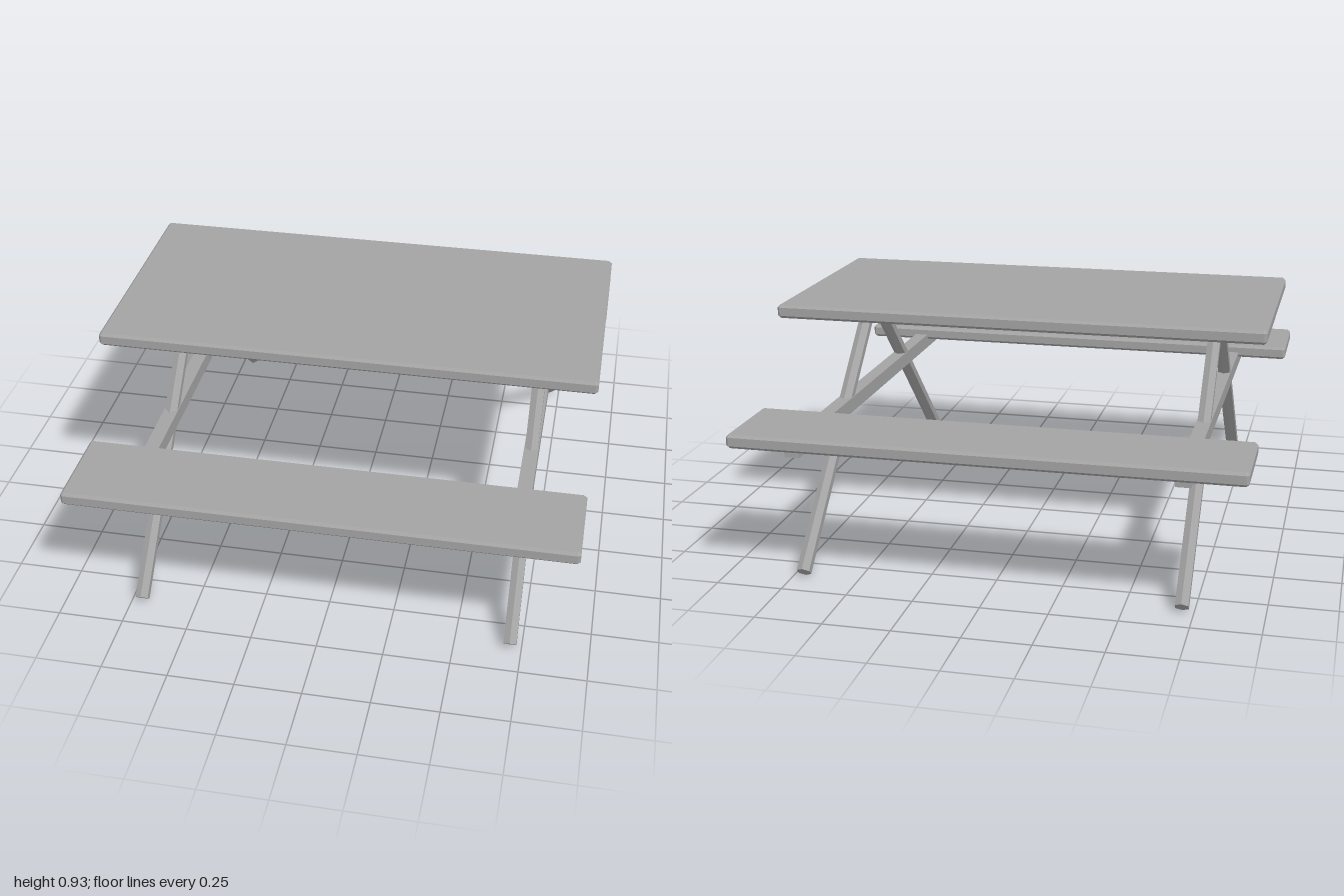
import * as THREE from 'three';

const BEVEL = 0.01;

// Flat board with every edge chamfered, centred on the origin
function boardGeometry(w, h, d) {
  const x = w / 2 - BEVEL, z = d / 2 - BEVEL, c = 0.004;
  const outline = new THREE.Shape([
    [-x + c, -z], [x - c, -z], [x, -z + c], [x, z - c],
    [x - c, z], [-x + c, z], [-x, z - c], [-x, -z + c],
  ].map(([a, b]) => new THREE.Vector2(a, b)));
  const geo = new THREE.ExtrudeGeometry(outline, {
    depth: h - 2 * BEVEL, bevelEnabled: true,
    bevelThickness: BEVEL, bevelSize: BEVEL, bevelSegments: 1,
  });
  geo.translate(0, 0, -h / 2 + BEVEL);
  geo.rotateX(-Math.PI / 2);
  return geo;
}

export function createModel() {
  const model = new THREE.Group();
  model.name = 'picnicTable';
  const grey = new THREE.MeshStandardMaterial({ color: 0xa3a3a3, flatShading: true });
  grey.name = 'plainGrey';

  function add(name, geo, x, y, z) {
    const mesh = new THREE.Mesh(geo, grey);
    mesh.name = name;
    mesh.position.set(x, y, z);
    model.add(mesh);
    return mesh;
  }

  // Tabletop and the two benches
  add('tabletop', boardGeometry(1.87, 0.052, 0.934), 0, 0.906, 0);
  const bench = boardGeometry(1.87, 0.052, 0.346);
  add('frontBench', bench, 0, 0.553, 0.827);
  add('backBench', bench, 0, 0.553, -0.827);

  // A-frames: two hexagonal legs meeting under the top, and a bench beam
  const foot = { y: 0.02, z: 0.88 }, apexY = 0.89;
  const rise = apexY - foot.y;
  const leg = new THREE.CylinderGeometry(0.028, 0.028, Math.hypot(rise, foot.z), 6);
  const beam = new THREE.BoxGeometry(0.055, 0.058, 1.88);
  for (const side of [1, -1]) {
    const label = side > 0 ? 'left' : 'right';
    const x = side * 0.707;
    add(label + 'BenchBeam', beam, x, 0.519, 0);
    for (const end of [1, -1]) {
      const mesh = add(label + (end > 0 ? 'FrontLeg' : 'BackLeg'), leg,
        x, (foot.y + apexY) / 2, end * foot.z / 2);
      mesh.rotation.x = -end * Math.atan2(foot.z, rise);
    }
  }
  return model;
}
